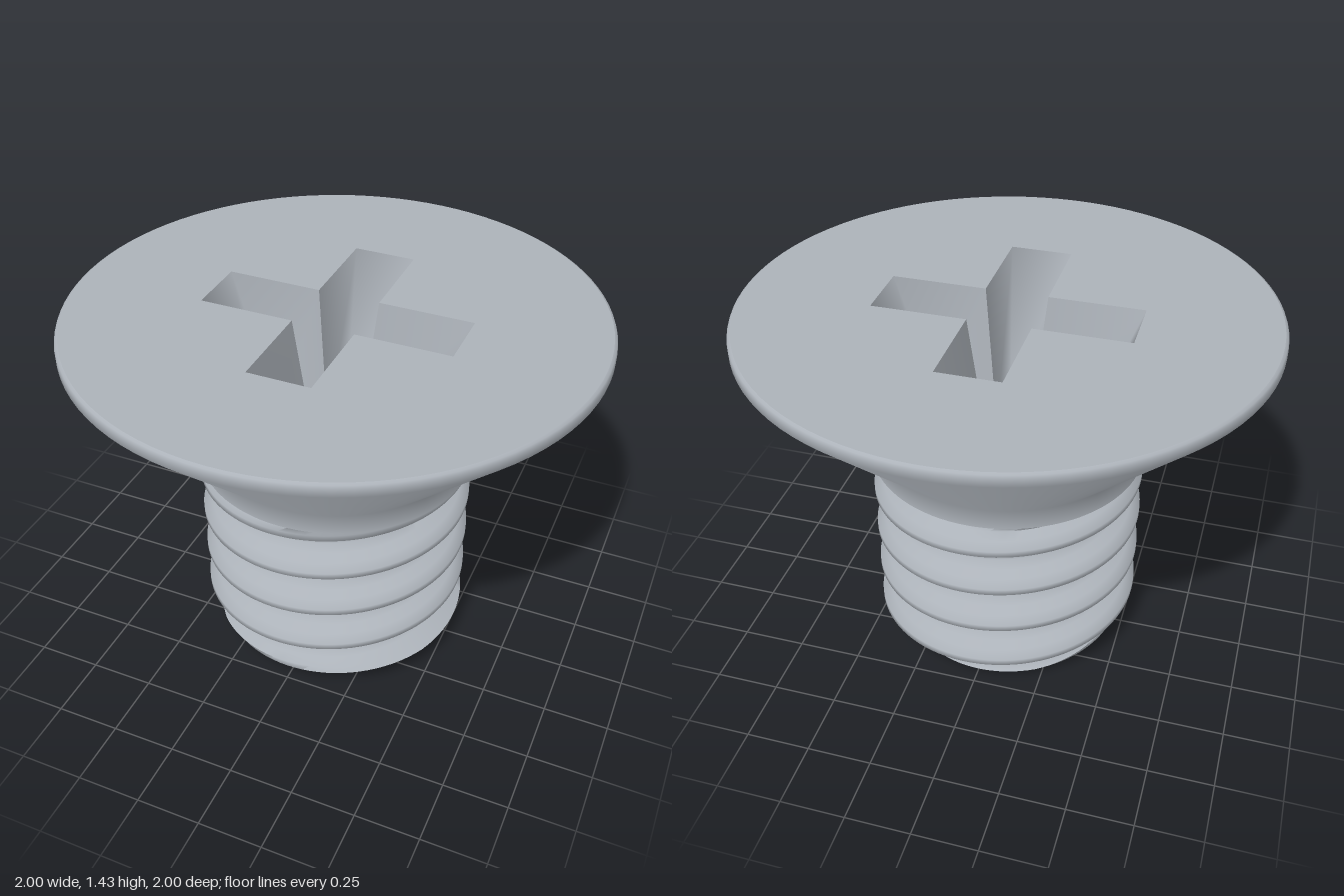
import * as THREE from 'three';
import { toCreasedNormals } from 'three/addons/utils/BufferGeometryUtils.js';

const SEG = 96;
const TOP = 1.43, NECK = 0.835;
const CREST = 0.532, ROOT = 0.425, PITCH = 0.1855;

// Creases are found at a larger scale so fine details stay distinct
function crease(geometry, angle) {
  geometry.scale(20, 20, 20);
  const result = toCreasedNormals(geometry, angle);
  return result.scale(0.05, 0.05, 0.05);
}

function fromTriangles(positions) {
  const g = new THREE.BufferGeometry();
  g.setAttribute('position', new THREE.Float32BufferAttribute(positions, 3));
  g.computeVertexNormals();
  return g;
}

// Plus-shaped outline, counter-clockwise: l = half length, w = half width
function crossPoints(l, w) {
  return [[l, -w], [l, w], [w, w], [w, l], [-w, l], [-w, w],
    [-l, w], [-l, -w], [-w, -w], [-w, -l], [w, -l], [w, -w]]
    .map(([x, y]) => new THREE.Vector2(x, y));
}

// Radius of the thread at a distance from the middle of a crest
function threadRadius(offset) {
  const d = Math.abs(offset - PITCH * Math.round(offset / PITCH));
  return THREE.MathUtils.clamp(THREE.MathUtils.mapLinear(d, 0.0125, 0.07, CREST, ROOT), ROOT, CREST);
}

// Helical shank, chamfered at the tip and running out into the neck
function threadGeometry() {
  const marks = [-0.07, -0.051, -0.032, -0.0125, 0.0125, 0.032, 0.051, 0.07];
  const offsets = [];
  for (let k = -2; k <= 5; k++) for (const m of marks) offsets.push(k * PITCH + m);

  const point = (i, j) => {
    const a = (i / SEG) * Math.PI * 2;
    const start = 0.01 + PITCH * i / SEG;
    const y = THREE.MathUtils.clamp(start + offsets[j], 0, NECK);
    const runOut = CREST - (NECK - y) * 1.4;
    const r = Math.min(Math.max(threadRadius(y - start), runOut), 0.43 + y);
    return new THREE.Vector3(-r * Math.cos(a), y, r * Math.sin(a));
  };

  const positions = [];
  const triangle = (a, b, c) => {
    const area = b.clone().sub(a).cross(c.clone().sub(a)).length();
    if (area > 1e-8) for (const p of [a, b, c]) positions.push(p.x, p.y, p.z);
  };
  for (let i = 0; i < SEG; i++) {
    for (let j = 0; j < offsets.length - 1; j++) {
      const a = point(i, j), b = point(i + 1, j), c = point(i + 1, j + 1), d = point(i, j + 1);
      triangle(a, b, c);
      triangle(a, c, d);
    }
  }
  return crease(fromTriangles(positions), 1.2);
}

// Tapered walls of the driver recess, softly shaded at the arm ends
function recessWalls(outer, inner, yTop, yBottom) {
  const positions = [];
  outer.forEach((p, i) => {
    const k = (i + 1) % outer.length;
    const a = [p.x, yTop, -p.y], b = [outer[k].x, yTop, -outer[k].y];
    const c = [inner[k].x, yBottom, -inner[k].y], d = [inner[i].x, yBottom, -inner[i].y];
    positions.push(...a, ...b, ...c, ...a, ...c, ...d);
  });
  return crease(fromTriangles(positions), 1.55);
}

export function createModel() {
  const group = new THREE.Group();
  const steel = new THREE.MeshStandardMaterial({ color: 0xacb2b9 });
  steel.name = 'steel grey';

  const add = (name, geometry, y = 0) => {
    const mesh = new THREE.Mesh(geometry, steel);
    mesh.name = name;
    mesh.position.y = y;
    group.add(mesh);
  };

  // Countersunk head with short plain neck and softened rim
  const profile = [[CREST, NECK], [CREST, 0.915], [1, 1.383],
    [1, 1.415], [0.996, 1.425], [0.987, TOP]].map(([x, y]) => new THREE.Vector2(x, y));
  add('head', crease(new THREE.LatheGeometry(profile, SEG), 1));

  // Flat top face with the cross cut out
  const outer = crossPoints(0.485, 0.12), inner = crossPoints(0.27, 0.065);
  const face = new THREE.Shape().absarc(0, 0, 0.987, 0, Math.PI * 2, false);
  face.holes.push(new THREE.Path(outer.slice().reverse()));
  add('headFace', new THREE.ShapeGeometry(face, SEG / 2).rotateX(-Math.PI / 2), TOP);

  // Cross recess
  const floorY = 0.88;
  add('recessWalls', recessWalls(outer, inner, TOP, floorY));
  add('recessFloor', new THREE.ShapeGeometry(new THREE.Shape(inner)).rotateX(-Math.PI / 2), floorY);

  // Threaded shank and its flat end
  add('thread', threadGeometry());
  add('tip', new THREE.CircleGeometry(0.43, SEG).rotateX(Math.PI / 2));

  return group;
}
